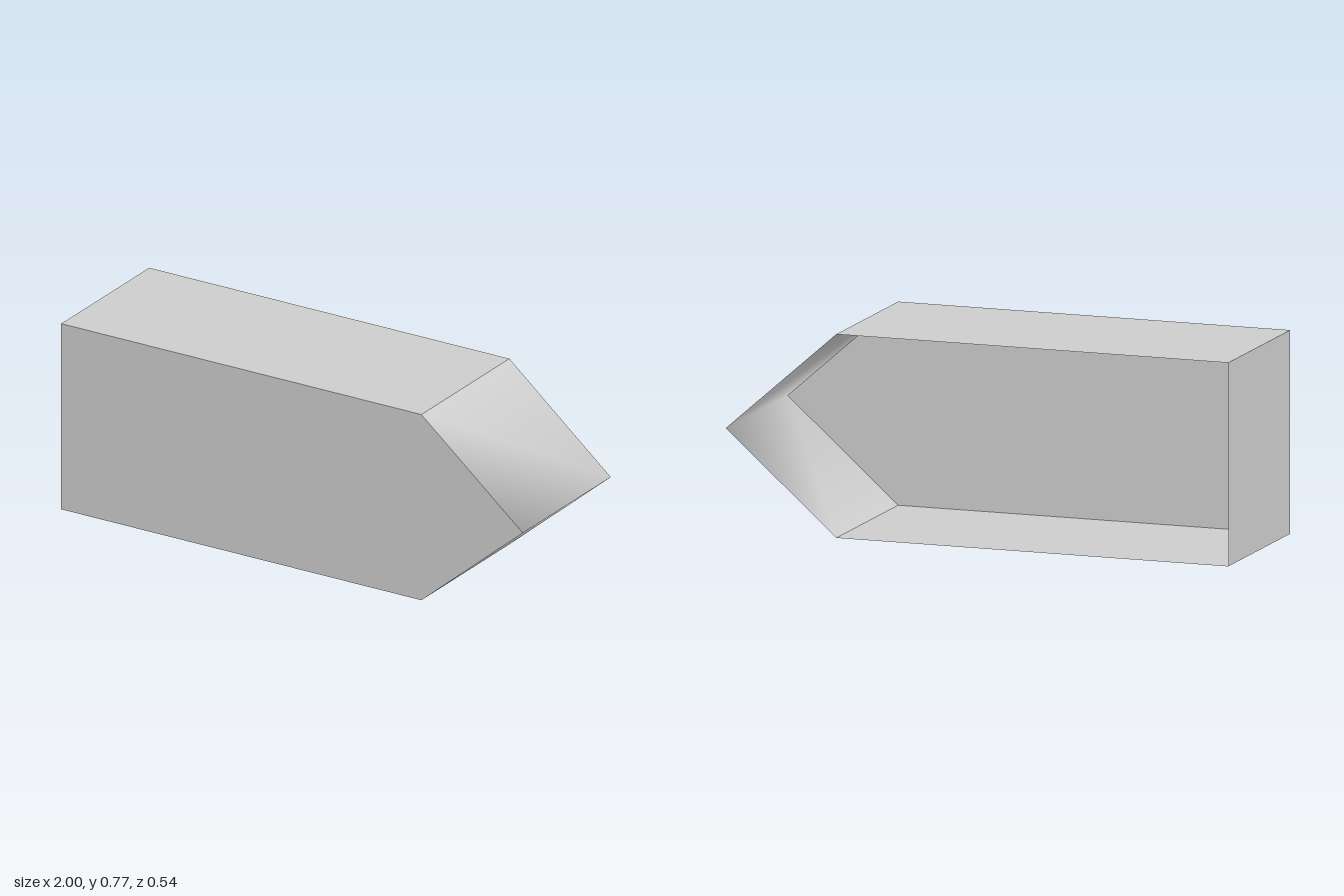
import * as THREE from 'three';

const HALF_DEPTH = 0.27;
const SHEAR = 0.075; // sideways shift of the open back edge

// Front outline corners
const topLeft = [-1, 0.77];
const topRight = [0.502, 0.77];
const tip = [0.925, 0.385];
const bottomRight = [0.502, 0];
const bottomLeft = [-1, 0];

// Wall swept from the front outline to the sheared back edge;
// points in one strip share smooth normals.
function wallGeometry(points) {
  const positions = [];
  const indices = [];
  points.forEach(([x, y], i) => {
    positions.push(x, y, HALF_DEPTH, x + SHEAR, y, -HALF_DEPTH);
    if (i > 0) {
      const a = 2 * (i - 1);
      indices.push(a, a + 2, a + 3, a, a + 3, a + 1);
    }
  });
  const geometry = new THREE.BufferGeometry();
  geometry.setAttribute('position', new THREE.Float32BufferAttribute(positions, 3));
  geometry.setIndex(indices);
  geometry.computeVertexNormals();
  return geometry;
}

export function createModel() {
  const group = new THREE.Group();
  group.name = 'pointedShell';
  const grey = new THREE.MeshStandardMaterial({ color: 0xcccccc, side: THREE.DoubleSide });
  grey.name = 'lightGrey';

  const add = (name, geometry) => {
    const mesh = new THREE.Mesh(geometry, grey);
    mesh.name = name;
    group.add(mesh);
    return mesh;
  };

  // Flat arrow-shaped front
  const outline = [bottomLeft, bottomRight, tip, topRight, topLeft];
  const shape = new THREE.Shape(outline.map(([x, y]) => new THREE.Vector2(x, y)));
  add('frontPanel', new THREE.ShapeGeometry(shape)).position.z = HALF_DEPTH;

  // Walls around the open back, with a softly shaded point
  add('topWall', wallGeometry([topLeft, topRight]));
  add('pointedWall', wallGeometry([topRight, tip, bottomRight]));
  add('bottomWall', wallGeometry([bottomRight, bottomLeft]));
  add('endWall', wallGeometry([bottomLeft, topLeft]));

  return group;
}
